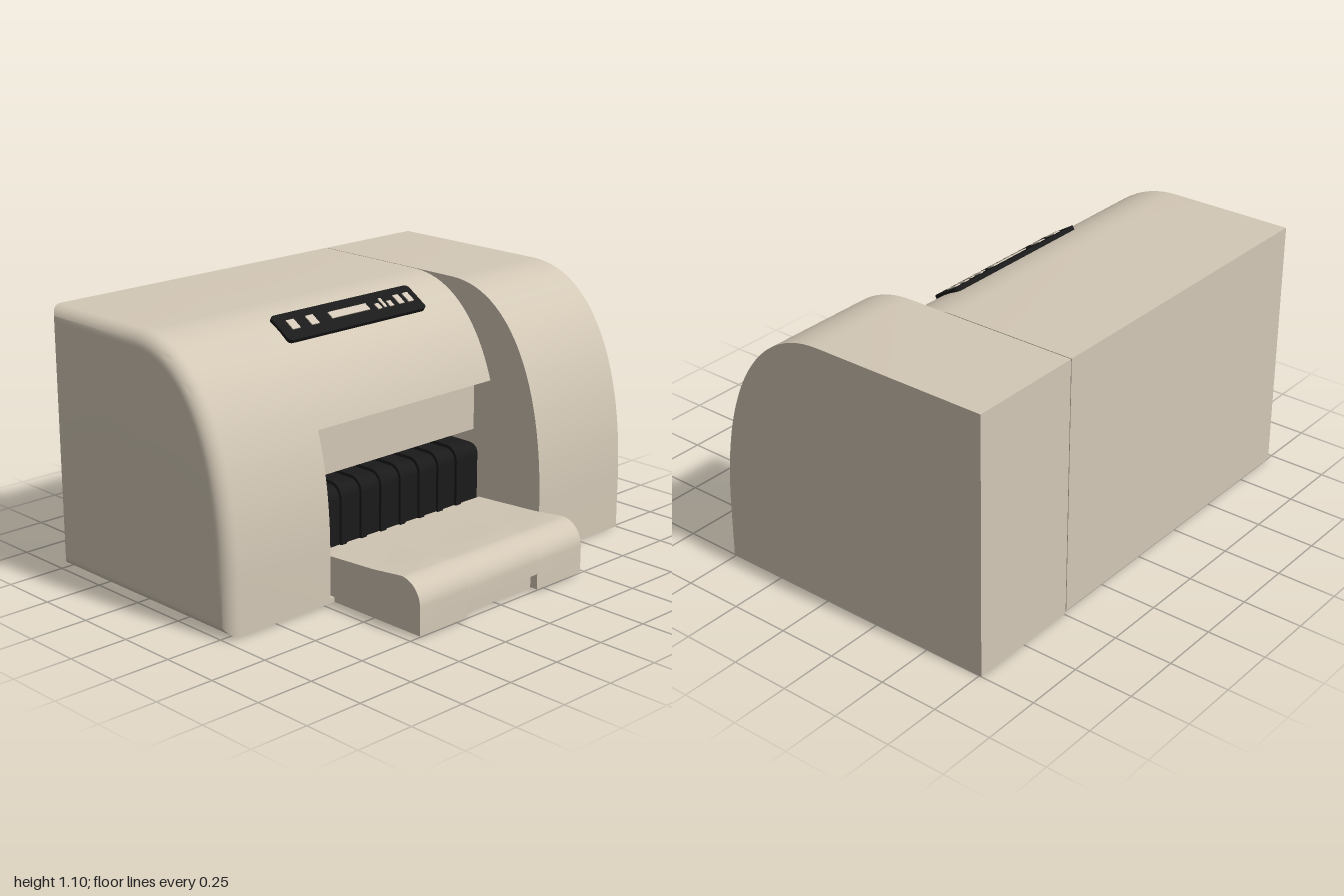
import * as THREE from 'three';
import { toCreasedNormals } from 'three/addons/utils/BufferGeometryUtils.js';
import { RoundedBoxGeometry } from 'three/addons/geometries/RoundedBoxGeometry.js';

const beige = new THREE.MeshStandardMaterial({ color: 0xd3c8b6 });
const black = new THREE.MeshStandardMaterial({ color: 0x1a1a1a });
const V = (z, y) => new THREE.Vector2(z, y);

// Curved front of the casing, from the bottom front up to the flat top (z, y)
function frontCurve(shift) {
  return new THREE.CubicBezierCurve(
    V(0.51 + shift, 0.22), V(0.51 + shift, 0.76), V(0.32 + shift, 1.1), V(shift, 1.1)
  ).getPoints(28);
}

function add(parent, name, geometry, material) {
  const mesh = new THREE.Mesh(geometry, material);
  mesh.name = name;
  parent.add(mesh);
  return mesh;
}

// Extrude a (z, y) outline from x0 to x1
function extrudeX(points, x0, x1) {
  const g = new THREE.ExtrudeGeometry(new THREE.Shape(points), { depth: x1 - x0, bevelEnabled: false });
  g.rotateY(-Math.PI / 2).translate(x1, 0, 0);
  return toCreasedNormals(g, 0.5);
}

// Solid from x1 down to x0 whose outer end at x0 is rounded by radius r
function roundedEnd(points, x0, x1, r) {
  const box = new THREE.Box2().setFromPoints(points);
  const c = box.getCenter(new THREE.Vector2()), s = box.getSize(new THREE.Vector2());
  const rings = [[x1, 0]], n = points.length, pos = [], index = [];
  for (let i = 0; i <= 8; i++) {
    const a = (i / 8) * Math.PI / 2;
    rings.push([x0 + r - r * Math.sin(a), r * (1 - Math.cos(a))]);
  }
  for (const [x, d] of rings) {
    for (const p of points) {
      pos.push(x, c.y + (p.y - c.y) * (1 - 2 * d / s.y), c.x + (p.x - c.x) * (1 - 2 * d / s.x));
    }
  }
  for (let i = 0; i < rings.length - 1; i++) {
    for (let j = 0; j < n; j++) {
      const k = (j + 1) % n, a = i * n, b = a + n;
      index.push(a + j, a + k, b + k, a + j, b + k, b + j);
    }
  }
  const last = (rings.length - 1) * n;
  pos.push(x0, c.y, c.x);
  for (let j = 0; j < n; j++) index.push(last + n, last + j, last + (j + 1) % n);
  const g = new THREE.BufferGeometry();
  g.setAttribute('position', new THREE.Float32BufferAttribute(pos, 3));
  g.setIndex(index);
  return toCreasedNormals(g, 0.5);
}

// Block outline with a rounded top front corner
function roundedTop(back, front, bottom, top, r) {
  const pts = [V(back, bottom), V(front, bottom)];
  for (let i = 0; i <= 10; i++) {
    const a = (i / 10) * Math.PI / 2;
    pts.push(V(front - r + r * Math.cos(a), top - r + r * Math.sin(a)));
  }
  pts.push(V(back, top));
  return pts;
}

export function createModel() {
  const model = new THREE.Group();

  // Tall side housing
  add(model, 'sideHousing',
    extrudeX([V(-0.76, 0), V(0.51, 0), ...frontCurve(0), V(-0.76, 1.1)], 0.492, 1), beige);

  // Main casing: solid rounded end, then the section with the paper opening
  const curve = frontCurve(-0.215);
  add(model, 'casingEnd',
    roundedEnd([V(-0.76, 0.01), V(0.295, 0.01), ...curve, V(-0.76, 1.1)], -1, -0.48, 0.06), beige);
  add(model, 'casingWithOpening', extrudeX([
    V(-0.76, 0.01), V(0.295, 0.01), V(0.295, 0.03), V(-0.05, 0.03), V(-0.05, 0.47),
    V(0.14, 0.47), V(0.14, 0.7), V(0.23, 0.7),
    ...curve.filter((p) => p.y > 0.71), V(-0.76, 1.1)
  ], -0.48, 0.488), beige);

  // Black paper feed with guide ribs
  const feed = new THREE.Group();
  feed.name = 'paperFeed';
  model.add(feed);
  const feedBody = new RoundedBoxGeometry(0.955, 0.41, 0.24, 5, 0.05);
  add(feed, 'feedBody', feedBody, black).position.set(0.0025, 0.225, 0.08);
  for (let i = -3; i <= 3; i++) {
    const x = i * 0.109;
    add(feed, 'guideRib', extrudeX(roundedTop(-0.03, 0.212, 0.05, 0.443, 0.06), x - 0.015, x + 0.015), black);
  }

  // Output tray with a finger notch in the front edge
  const tray = new THREE.Group();
  tray.name = 'outputTray';
  model.add(tray);
  const upper = [];
  for (let i = 0; i <= 12; i++) {
    const a = (i / 12) * Math.PI / 2;
    upper.push(V(0.66 + 0.1 * Math.cos(a), 0.125 + 0.1 * Math.sin(a)));
  }
  upper.push(V(0.51, 0.208), V(0.2, 0.19));
  const full = [V(0.2, 0.01), V(0.76, 0.01), ...upper];
  const notched = [V(0.2, 0.01), V(0.725, 0.01), V(0.725, 0.075), V(0.76, 0.075), ...upper];
  add(tray, 'trayRightSide', extrudeX(full, -0.46, -0.2), beige);
  add(tray, 'trayMiddle', extrudeX(notched, -0.2, 0.2), beige);
  add(tray, 'trayLeftSide', extrudeX(full, 0.2, 0.463), beige);

  // Control panel lying on the curved front
  const panel = new THREE.Group();
  panel.name = 'controlPanel';
  panel.position.set(-0.088, 1.043, -0.006);
  panel.rotation.x = 0.56;
  model.add(panel);
  const w = 0.375, h = 0.07, r = 0.02;
  const plate = new THREE.Shape();
  plate.moveTo(-w + r, -h);
  plate.absarc(w - r, -h + r, r, -Math.PI / 2, 0);
  plate.absarc(w - r, h - r, r, 0, Math.PI / 2);
  plate.absarc(-w + r, h - r, r, Math.PI / 2, Math.PI);
  plate.absarc(-w + r, -h + r, r, Math.PI, Math.PI * 1.5);
  const plateGeometry = new THREE.ExtrudeGeometry(plate, { depth: 0.04, bevelEnabled: false, curveSegments: 6 });
  plateGeometry.rotateX(-Math.PI / 2).translate(0, -0.03, 0);
  add(panel, 'panelPlate', plateGeometry, black);

  // Buttons and display: x, z, width, depth
  const controls = [
    [-0.39, -0.005, 0.04, 0.05], [-0.29, -0.005, 0.04, 0.05], [-0.093, -0.005, 0.205, 0.035],
    [0.06, 0.006, 0.022, 0.03], [0.093, -0.006, 0.014, 0.05], [0.127, 0.006, 0.022, 0.03],
    [0.183, -0.005, 0.03, 0.05], [0.237, -0.005, 0.03, 0.05]
  ];
  for (const [x, z, bw, bd] of controls) {
    const name = bw > 0.1 ? 'display' : 'button';
    add(panel, name, new THREE.BoxGeometry(bw, 0.012, bd), beige).position.set(x + 0.088, 0.008, z);
  }

  return model;
}
